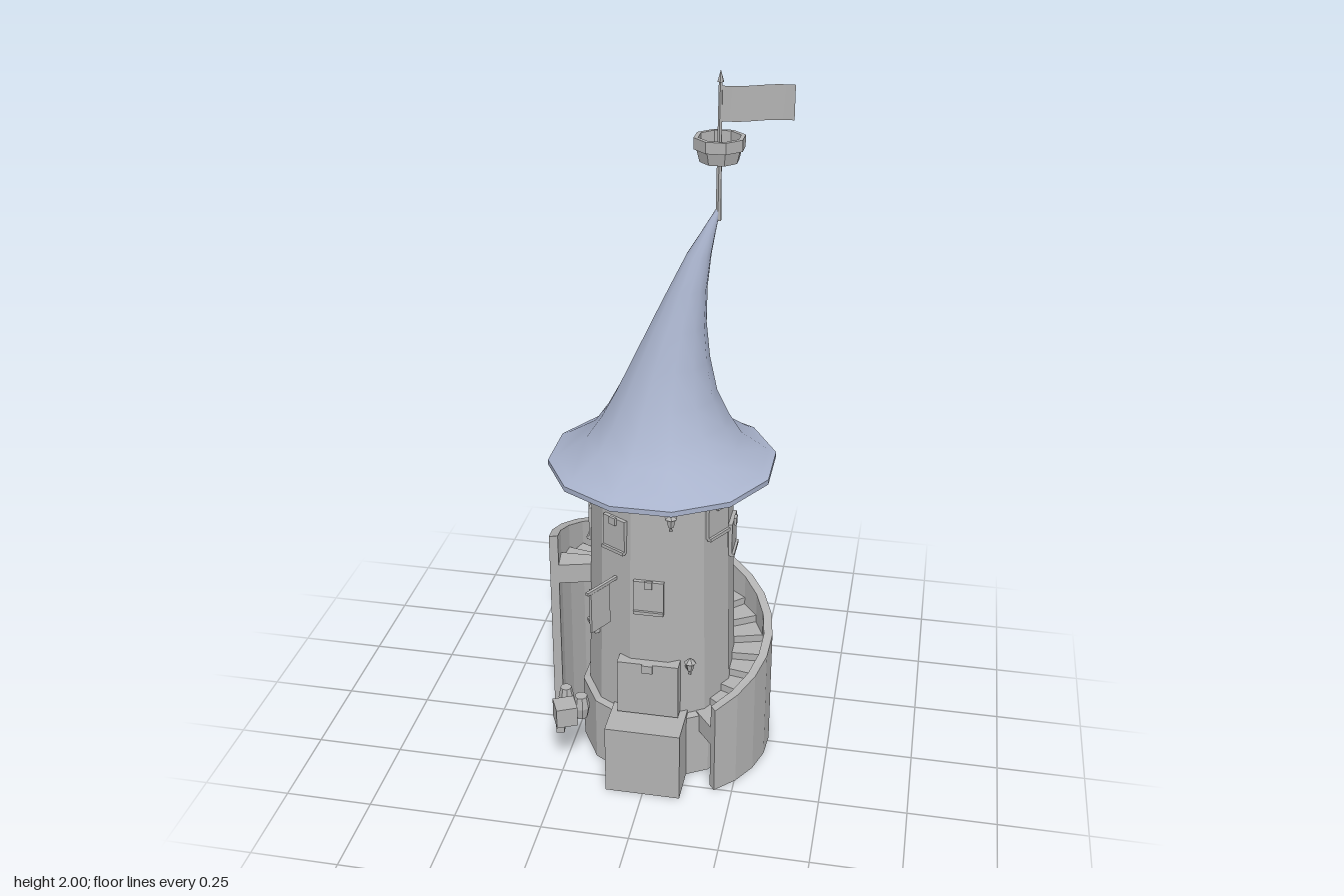
import * as THREE from 'three';
import { toCreasedNormals } from 'three/addons/utils/BufferGeometryUtils.js';

const RAD = Math.PI / 180;

// gives every face its own normal
function flat(geo) {
  const g = geo.index ? geo.toNonIndexed() : geo;
  g.computeVertexNormals();
  return g;
}

// box bent around the tower: radius r0..r1, angle t0..t1 (degrees from +z to +x)
function arcBlock(r0, r1, t0, t1, bottom, top, segs) {
  const g = new THREE.BoxGeometry(1, 1, 1, 1, 1, segs);
  const p = g.attributes.position;
  for (let i = 0; i < p.count; i++) {
    const k = 0.5 - p.getZ(i);
    const t = (t0 + (t1 - t0) * k) * RAD;
    const r = p.getX(i) > 0 ? r1 : r0;
    const y = p.getY(i) > 0 ? top(k) : bottom(k);
    p.setXYZ(i, r * Math.sin(t), y, r * Math.cos(t));
  }
  return flat(g);
}

function lathe(points, sides) {
  return flat(new THREE.LatheGeometry(
    points.map(([r, y]) => new THREE.Vector2(r, y)), sides, Math.PI / sides));
}

// twelve-sided sections [y, centre x, centre z, radius] joined into a skin
function loft(sections, sides) {
  const pos = [], idx = [];
  sections.forEach(([y, cx, cz, r], j) => {
    for (let i = 0; i < sides; i++) {
      const a = (i + 0.5) / sides * Math.PI * 2;
      pos.push(cx + r * Math.sin(a), y, cz + r * Math.cos(a));
      if (j === sections.length - 1) continue;
      const n = (i + 1) % sides, a0 = j * sides + i, b0 = j * sides + n;
      idx.push(a0, b0, a0 + sides, b0, b0 + sides, a0 + sides);
    }
  });
  const g = new THREE.BufferGeometry();
  g.setAttribute('position', new THREE.Float32BufferAttribute(pos, 3));
  g.setIndex(idx);
  return toCreasedNormals(g, 50 * RAD);
}

export function createModel() {
  const model = new THREE.Group();
  const stone = new THREE.MeshStandardMaterial({ color: 0xb2b2b2 });
  stone.name = 'stone grey';
  const cloth = new THREE.MeshStandardMaterial({ color: 0xb2b2b2, side: THREE.DoubleSide });
  cloth.name = 'flag grey';
  const slate = new THREE.MeshStandardMaterial({ color: 0xa9b3cc, side: THREE.DoubleSide });
  slate.name = 'roof blue';

  const add = (name, geo, mat = stone, x = 0, y = 0, z = 0, parent = model) => {
    const m = new THREE.Mesh(geo, mat);
    m.name = name;
    m.position.set(x, y, z);
    parent.add(m);
    return m;
  };
  // group facing outward from the tower at an angle
  const outward = (name, deg, r, y) => {
    const g = new THREE.Group();
    g.name = name;
    g.position.set(r * Math.sin(deg * RAD), y, r * Math.cos(deg * RAD));
    g.rotation.y = deg * RAD;
    model.add(g);
    return g;
  };
  const box = (w, h, d) => new THREE.BoxGeometry(w, h, d);

  // hollow shaft with plinth and flared cornice
  add('tower', lathe([[0, 0.88], [0.18, 0.88], [0.195, 0], [0.235, 0], [0.235, 0.2], [0.215, 0.205],
    [0.198, 0.89], [0.25, 0.945], [0, 0.945]], 12));

  // leaning, bent roof
  add('roof', loft([
    [0.92, 0, 0, 0.317], [0.935, 0, 0, 0.317], [0.945, 0, 0, 0.295], [1.0, 0.005, 0, 0.215],
    [1.06, 0.007, -0.004, 0.175], [1.13, 0.009, -0.008, 0.139], [1.23, 0.022, -0.013, 0.104],
    [1.33, 0.04, -0.018, 0.075], [1.43, 0.064, -0.026, 0.051], [1.52, 0.09, -0.035, 0.033],
    [1.58, 0.113, -0.043, 0.019], [1.64, 0.136, -0.052, 0.006]], 12), slate);

  // spiral wall and stairs
  const T0 = 38, T1 = 285, N = 18;
  const rise = k => 0.28 + 0.41 * k;
  add('spiralWall', arcBlock(0.298, 0.323, T0, T1, () => 0, rise, N));
  const stairs = new THREE.Group();
  stairs.name = 'stairs';
  model.add(stairs);
  for (let i = 0; i < N; i++) {
    const s = (T1 - T0) / N, y = rise((i + 0.5) / N) - 0.085;
    add('step', arcBlock(0.18, 0.305, T0 + i * s, T0 + (i + 1) * s, () => y - 0.06, () => y, 1),
      stone, 0, 0, 0, stairs);
  }

  // porch and door
  add('porch', box(0.215, 0.215, 0.13), stone, 0, 0.1075, 0.245);
  add('door', box(0.175, 0.17, 0.04), stone, 0, 0.305, 0.207);
  add('doorKeystone', box(0.03, 0.025, 0.01), stone, 0, 0.378, 0.23);

  // windows: angle, height, width
  [[0, 0.6, 0.085], [-30, 0.775, 0.078], [-60, 0.47, 0.075], [-90, 0.72, 0.08], [60, 0.81, 0.085],
    [90, 0.71, 0.085], [135, 0.84, 0.085], [180, 0.7, 0.08]].forEach(([deg, y, w]) => {
    const g = outward('window', deg, (0.2175 - 0.0225 * y) * Math.cos(15 * RAD), y);
    add('windowPlate', box(w, 0.1, 0.022), stone, 0, 0, 0, g);
    add('windowKeystone', box(0.022, 0.022, 0.008), stone, 0, 0.043, 0.014, g);
    add('windowSill', box(w, 0.01, 0.012), stone, 0, -0.048, 0.012, g);
  });

  // lanterns under the eaves and one beside the door
  const lantern = (deg, r, y) => {
    const g = outward('lantern', deg, r, y);
    add('lanternBody', flat(new THREE.CylinderGeometry(0.014, 0.008, 0.026, 6)), stone, 0, 0, 0, g);
    add('lanternCap', flat(new THREE.ConeGeometry(0.018, 0.016, 6)), stone, 0, 0.021, 0, g);
    add('lanternTip', flat(new THREE.ConeGeometry(0.006, 0.014, 6)), stone, 0, -0.018, 0, g);
    return g;
  };
  [15, 135, 255].forEach(deg => lantern(deg, 0.3, 0.894));
  const wallLamp = lantern(30, 0.235, 0.385);
  add('lampArm', box(0.006, 0.006, 0.04), stone, 0, -0.018, -0.02, wallLamp);

  // hanging sign
  const sign = outward('sign', -30, 0.26, 0.57);
  add('signBoard', box(0.008, 0.125, 0.075), stone, 0, -0.005, 0.005, sign);
  add('signArm', box(0.009, 0.009, 0.12), stone, 0, 0.063, -0.005, sign);

  // barrels and crate beside the door
  const barrel = lathe([[0, 0], [0.018, 0], [0.025, 0.035], [0.018, 0.07], [0, 0.07]], 8);
  add('barrel', barrel, stone, -0.19, 0.2, 0.242);
  add('smallBarrel', barrel, stone, -0.245, 0.2, 0.2).scale.set(0.9, 0.9, 0.9);
  add('crate', box(0.06, 0.06, 0.06), stone, -0.228, 0.235, 0.28).rotation.y = 25 * RAD;

  // mast, lookout basket and finial
  const MX = 0.137, MZ = -0.052;
  add('mast', flat(new THREE.CylinderGeometry(0.005, 0.008, 0.37, 6)), stone, MX, 1.795, MZ);
  add('finial', flat(new THREE.ConeGeometry(0.009, 0.03, 6)), stone, MX, 1.985, MZ);
  add('lookout', lathe([[0, 1.768], [0.052, 1.768], [0.06, 1.8], [0.068, 1.802], [0.068, 1.832],
    [0.056, 1.832], [0.054, 1.785], [0, 1.785]], 8), stone, MX, 0, MZ);

  // waving flag
  const flag = new THREE.PlaneGeometry(0.183, 0.09, 10, 1);
  const p = flag.attributes.position;
  for (let i = 0; i < p.count; i++) {
    const u = p.getX(i) / 0.183 + 0.5;
    p.setZ(i, -0.043 * u + 0.008 * Math.sin(u * Math.PI * 2));
  }
  flag.computeVertexNormals();
  add('flag', flag, cloth, MX + 0.0915, 1.915, MZ);

  return model;
}
